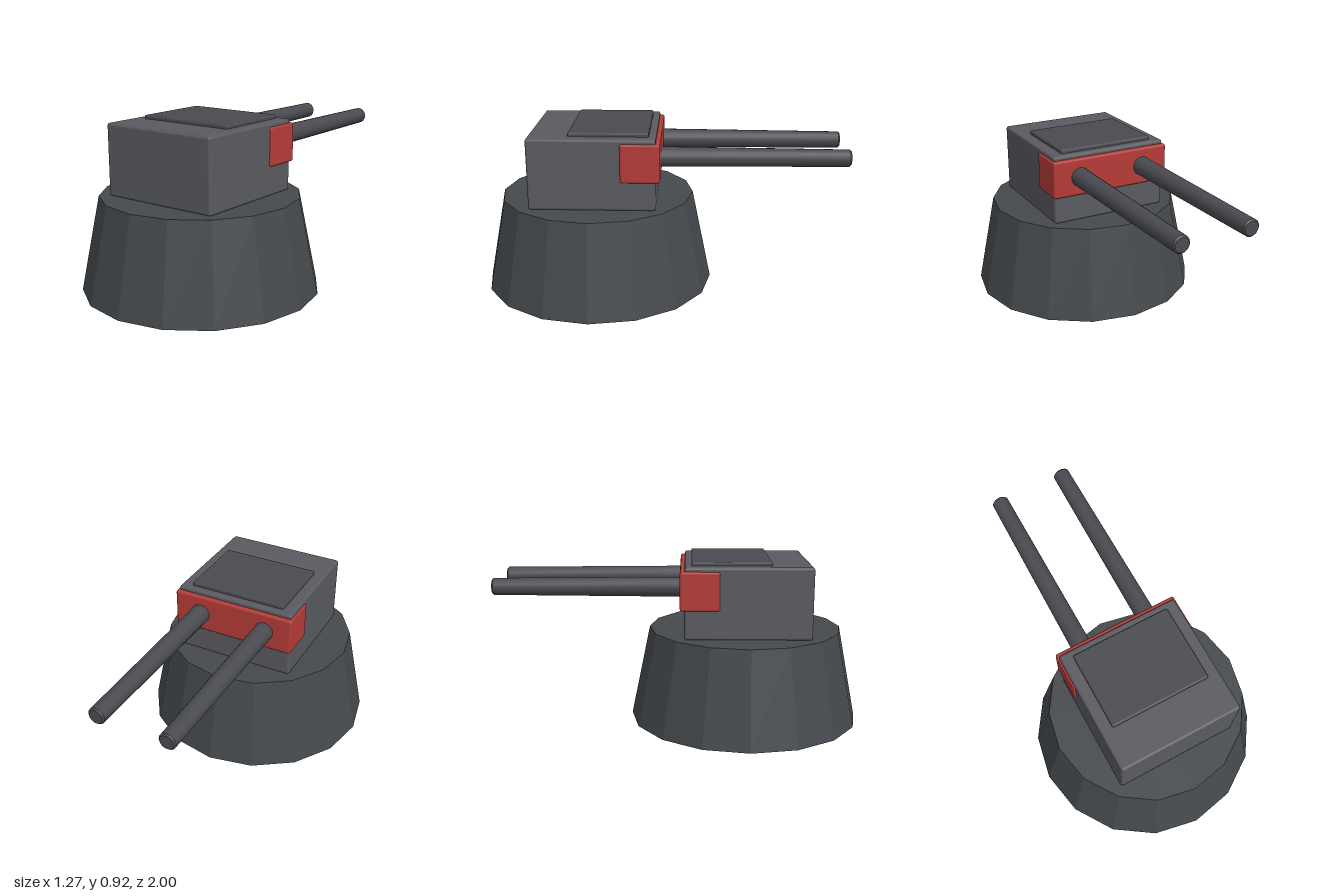
import * as THREE from 'three';
import { RoundedBoxGeometry } from 'three/addons/geometries/RoundedBoxGeometry.js';
import { toCreasedNormals } from 'three/addons/utils/BufferGeometryUtils.js';

const paint = (color, flatShading = false) => new THREE.MeshStandardMaterial({ color, flatShading });

export function createModel() {
  const model = new THREE.Group();
  model.name = 'gunTurret';

  const add = (name, geometry, material, x, y, z) => {
    const mesh = new THREE.Mesh(geometry, material);
    mesh.name = name;
    mesh.position.set(x, y, z);
    model.add(mesh);
    return mesh;
  };

  // Softly bevelled block given by half width and its y and z ranges
  const block = (name, halfWidth, [y0, y1], [z0, z1], bevel, material) =>
    add(name, new RoundedBoxGeometry(halfWidth * 2, y1 - y0, z1 - z0, 2, bevel),
      material, 0, (y0 + y1) / 2, (z0 + z1) / 2);

  // Sixteen-sided tapered pedestal
  add('pedestal', new THREE.CylinderGeometry(0.532, 0.637, 0.512, 16),
    paint(0x45494d, true), 0, 0.256, 0.363);

  // Gun house, roof hatch and the red mantlet wrapped around the gun end
  block('gunHouse', 0.338, [0.51, 0.895], [0.025, 0.7], 0.014, paint(0x5a5b60));
  block('roofHatch', 0.274, [0.875, 0.915], [0.063, 0.487], 0.009, paint(0x4a4b50));
  block('mantlet', 0.348, [0.665, 0.873], [0.002, 0.211], 0.012, paint(0xb53c38));

  // Twin barrels, slightly tapered with a chamfered muzzle
  const profile = [[0, 0], [0.054, 0], [0.046, 1.042], [0.038, 1.05], [0, 1.05]]
    .map(([r, y]) => new THREE.Vector2(r, y));
  const barrel = toCreasedNormals(new THREE.LatheGeometry(profile, 16), 0.6);
  const barrelMaterial = paint(0x4a4b51);
  for (const [side, name] of [[1, 'leftBarrel'], [-1, 'rightBarrel']]) {
    add(name, barrel, barrelMaterial, side * 0.192, 0.77, 0.05).rotation.x = -Math.PI / 2;
  }

  return model;
}
